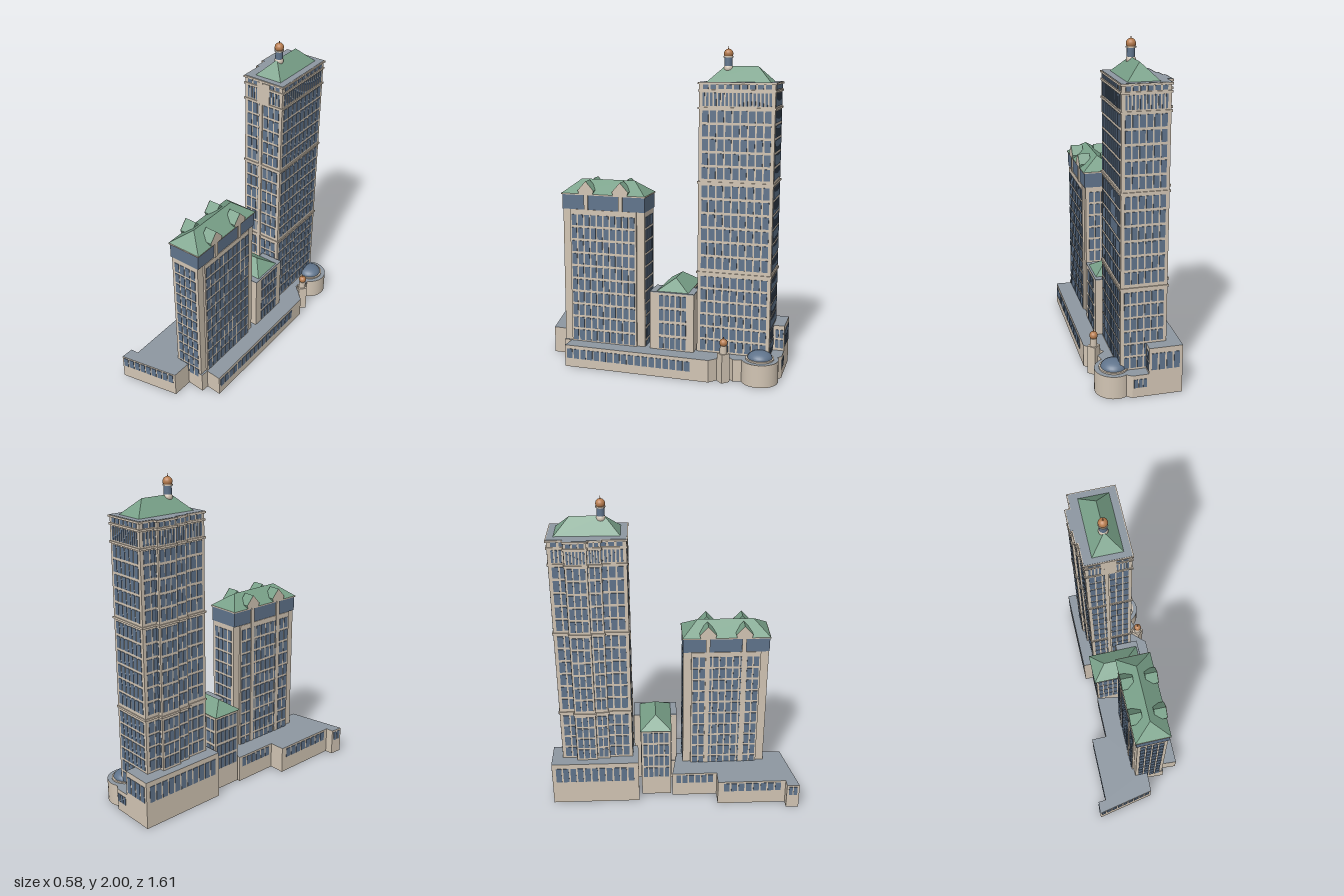
import * as THREE from 'three';
import { mergeGeometries } from 'three/addons/utils/BufferGeometryUtils.js';

const mat = (name, color, extra = {}) => {
  const m = new THREE.MeshStandardMaterial({ color, ...extra });
  m.name = name;
  return m;
};
const stone = mat('stone', 0xd2c5b4, { side: THREE.DoubleSide });
const glass = mat('glass', 0x60748c);
const green = mat('greenRoof', 0x78a088);
const copper = mat('copper', 0xb87d4f);
const deck = mat('greyDeck', 0x8d97a1);
const TILT = 0.066; // the whole site is turned slightly from the axes

function add(parent, name, geo, material, x = 0, y = 0, z = 0) {
  const m = new THREE.Mesh(geo, material);
  m.name = name;
  m.position.set(x, y, z);
  parent.add(m);
  return m;
}

function wing(parent, name, x, z) {
  const g = new THREE.Group();
  g.name = name;
  g.position.set(x, 0, z);
  g.rotation.y = TILT;
  parent.add(g);
  return g;
}

const block = (parent, name, x, z, w, d, y0, y1, material = stone) =>
  add(parent, name, new THREE.BoxGeometry(w, y1 - y0, d), material, x, (y0 + y1) / 2, z);

// Grid of thin panes set along the plan segment a -> b
function panes(parent, a, b, y0, y1, cols, rows, fx = 0.76, fy = 0.8) {
  const dx = b[0] - a[0], dz = b[1] - a[1], len = Math.hypot(dx, dz);
  const pw = len / cols, ph = (y1 - y0) / rows, list = [];
  for (let i = 0; i < cols; i++) for (let j = 0; j < rows; j++) {
    const t = (i + 0.5) / cols;
    list.push(new THREE.BoxGeometry(pw * fx, ph * fy, 0.006)
      .rotateY(Math.atan2(-dz, dx))
      .translate(a[0] + dx * t, y0 + ph * (j + 0.5), a[1] + dz * t));
  }
  add(parent, 'windows', mergeGeometries(list), glass);
}

// Panes on the four sides of a rectangle, with a margin at every corner
function panesAround(parent, x, z, w, d, y0, y1, colsW, colsD, rows, margin, fx, fy) {
  const a = w / 2 - margin, b = d / 2 - margin;
  for (const s of [-1, 1]) {
    panes(parent, [x - a, z + s * d / 2], [x + a, z + s * d / 2], y0, y1, colsW, rows, fx, fy);
    panes(parent, [x + s * w / 2, z - b], [x + s * w / 2, z + b], y0, y1, colsD, rows, fx, fy);
  }
}

// Hipped roof with its ridge along z
function hipGeometry(w, d, h, r) {
  const A = [-w / 2, 0, d / 2], B = [w / 2, 0, d / 2], C = [w / 2, 0, -d / 2], D = [-w / 2, 0, -d / 2];
  const P = [0, h, r], Q = [0, h, -r];
  const tris = [A, B, P, B, C, Q, B, Q, P, C, D, Q, D, A, P, D, P, Q, A, D, C, A, C, B];
  const g = new THREE.BufferGeometry();
  g.setAttribute('position', new THREE.Float32BufferAttribute(tris.flat(), 3));
  g.computeVertexNormals();
  return g;
}

// Hollow podium: upright walls under a flat deck, open below
function podium(parent, name, pts, h) {
  const pos = [];
  pts.forEach(([x, z], i) => {
    const [u, v] = pts[(i + 1) % pts.length];
    pos.push(x, 0, z, u, 0, v, u, h, v, x, 0, z, u, h, v, x, h, z);
  });
  const g = new THREE.BufferGeometry();
  g.setAttribute('position', new THREE.Float32BufferAttribute(pos, 3));
  g.computeVertexNormals();
  add(parent, name + 'Walls', g, stone);
  const flat = new THREE.ShapeGeometry(new THREE.Shape(pts.map(([x, z]) => new THREE.Vector2(x, -z))));
  flat.rotateX(-Math.PI / 2);
  add(parent, name + 'Deck', flat, deck, 0, h, 0);
  add(parent, name + 'Ceiling', flat, stone, 0, h - 0.004, 0);
}

function buildPodiums(root) {
  podium(root, 'frontPodium', [[-0.29, 0.8], [0.08, 0.7], [0.075, 0.55], [0.04, 0], [-0.19, -0.02],
    [-0.17, 0.27], [-0.27, 0.277], [-0.24, 0.715], [-0.29, 0.72]], 0.17);
  panes(root, [-0.285, 0.799], [0.07, 0.703], 0.09, 0.165, 9, 1, 0.76, 0.85);
  panes(root, [-0.29, 0.73], [-0.29, 0.79], 0.09, 0.165, 2, 1);
  panes(root, [-0.268, 0.31], [-0.242, 0.69], 0.09, 0.165, 8, 1);
  panes(root, [-0.188, 0], [-0.171, 0.25], 0.09, 0.165, 6, 1);

  podium(root, 'sidePodium', [[0.08, 0.57], [0.19, 0.57], [0.19, 0.52], [0.29, 0.52], [0.23, -0.41], [0.12, -0.5],
    [0.165, -0.545], [0.15, -0.59], [0.1, -0.69], [0, -0.69], [0, 0]], 0.14);
  panes(root, [0.289, 0.51], [0.238, -0.3], 0.055, 0.12, 18, 1, 0.78, 0.95);

  podium(root, 'rearPodium', [[-0.288, -0.79], [-0.09, -0.803], [-0.06, -0.25], [-0.25, -0.235]], 0.3);
  panes(root, [-0.286, -0.77], [-0.252, -0.26], 0.15, 0.28, 11, 1);
  panes(root, [-0.275, -0.791], [-0.1, -0.802], 0.15, 0.28, 4, 1);
  panes(root, [-0.09, -0.8], [-0.087, -0.745], 0.15, 0.28, 2, 2);
  podium(root, 'rearAnnex', [[-0.09, -0.803], [0.005, -0.81], [0.06, -0.78], [0.06, -0.6], [-0.08, -0.6]], 0.14);
  panes(root, [-0.08, -0.804], [0, -0.81], 0.055, 0.12, 3, 1);
}

function buildRotunda(root) {
  const g = new THREE.Group();
  g.name = 'rotunda';
  g.position.set(0.095, 0, -0.695);
  root.add(g);
  add(g, 'rotundaWall', new THREE.CylinderGeometry(0.113, 0.113, 0.14, 28, 1, true), stone, 0, 0.07, 0);
  add(g, 'rotundaDeck', new THREE.CircleGeometry(0.113, 28).rotateX(-Math.PI / 2), deck, 0, 0.141, 0);
  add(g, 'rotundaCeiling', new THREE.CircleGeometry(0.112, 28).rotateX(-Math.PI / 2), stone, 0, 0.137, 0);
  add(g, 'domeCurb', new THREE.CylinderGeometry(0.086, 0.086, 0.012, 28), stone, 0, 0.144, 0);
  const dome = new THREE.SphereGeometry(0.076, 28, 8, 0, Math.PI * 2, 0, Math.PI / 2).scale(1, 0.58, 1);
  add(g, 'glassDome', dome, glass, 0, 0.148, 0);
}

function buildTurret(root) {
  const g = wing(root, 'cornerTurret', 0.18, -0.49);
  const base = block(g, 'turretBase', 0, 0, 0.056, 0.056, 0, 0.18);
  base.rotation.y = Math.PI / 4;
  add(g, 'turretDrum', new THREE.CylinderGeometry(0.022, 0.022, 0.05, 16), stone, 0, 0.205, 0);
  add(g, 'turretDome', new THREE.SphereGeometry(0.025, 16, 10), copper, 0, 0.246, 0);
  add(g, 'turretSpike', new THREE.ConeGeometry(0.005, 0.025, 8), copper, 0, 0.277, 0);
}

function buildTower(root) {
  const g = wing(root, 'tallTower', -0.055, -0.51);
  const w = 0.27, d = 0.45;
  // main shaft and the stepped bays on its west side: x, z, width, depth, columns
  const parts = [[0, 0, w, d, 6, 9], [-0.13, -0.065, 0.07, 0.13, 1, 3], [-0.13, 0.04, 0.04, 0.08, 1, 2]];
  parts.forEach(([x, z, pw, pd, cw, cd], i) => {
    block(g, 'shaft', x, z, pw, pd, i ? 0.28 : 0.01, 1.78);
    const m = i ? 0.008 : 0.016;
    [[0.145, 0.63, 6], [0.665, 1.19, 6], [1.215, 1.635, 5]].forEach(([y0, y1, n]) =>
      panesAround(g, x, z, pw, pd, y0, y1, cw, cd, n, m, 0.78, 0.82));
    panesAround(g, x, z, pw, pd, 1.65, 1.735, cw * 2, cd * 2, 1, m, 0.58, 0.9);
    panesAround(g, x, z, pw, pd, 1.75, 1.78, cw, cd, 1, m, 0.7, 0.85);
    for (const y of [0.645, 1.2, 1.64, 1.742]) block(g, 'ledge', x, z, pw + 0.012, pd + 0.012, y - 0.006, y + 0.006);
    block(g, 'cornice', x, z, pw + 0.016, pd + 0.016, 1.779, 1.79);
    block(g, 'roofDeck', x, z, pw + 0.004, pd + 0.004, 1.782, 1.792, deck);
  });
  // plain pier beside the front entrance bay
  block(g, 'frontPier', -0.015, d / 2, 0.022, 0.014, 0.3, 1.78);
  block(g, 'frontPanel', 0.0, d / 2, 0.09, 0.012, 1.64, 1.775);
  add(g, 'towerRoof', hipGeometry(0.18, 0.38, 0.09, 0.1), green, 0.005, 1.792, 0);

  // cupola
  const c = new THREE.Group();
  c.name = 'cupola';
  c.position.set(0.005, 0, 0.08);
  g.add(c);
  add(c, 'cupolaBase', new THREE.SphereGeometry(0.028, 16, 10), stone, 0, 1.868, 0);
  add(c, 'cupolaDrum', new THREE.CylinderGeometry(0.023, 0.023, 0.06, 16), glass, 0, 1.905, 0);
  add(c, 'cupolaCollar', new THREE.CylinderGeometry(0.029, 0.029, 0.008, 16), stone, 0, 1.936, 0);
  add(c, 'cupolaDome', new THREE.SphereGeometry(0.028, 18, 12), copper, 0, 1.955, 0);
  add(c, 'cupolaSpire', new THREE.ConeGeometry(0.005, 0.024, 8), copper, 0, 1.988, 0);
}

function buildFrontBlock(root) {
  const g = wing(root, 'frontBlock', 0.068, 0.305);
  const w = 0.19, d = 0.535;
  block(g, 'body', 0, 0, w, d, 0.01, 1);
  block(g, 'sideBay', 0, 0, w + 0.024, d - 0.1, 0.01, 1);
  panesAround(g, 0, 0, w + 0.024, d - 0.1, 0.14, 0.975, 1, 10, 10, 0.006, 0.76, 0.82);
  for (const s of [-1, 1]) panes(g, [-0.08, s * d / 2], [0.08, s * d / 2], 0.1, 0.975, 4, 11, 0.76, 0.82);
  block(g, 'glassBand', 0, 0, w + 0.016, d + 0.004, 1, 1.095, glass);
  block(g, 'eave', 0, 0, w + 0.028, d + 0.014, 1.092, 1.1);
  add(g, 'frontBlockRoof', hipGeometry(0.22, 0.545, 0.08, 0.175), green, 0, 1.1, 0);

  // gabled dormers, each over a stone pier
  const gable = new THREE.Shape([[-0.045, 0], [0.045, 0], [0.052, 0.022], [0, 0.08], [-0.052, 0.022]]
    .map(([x, y]) => new THREE.Vector2(x, y)));
  const body = new THREE.ExtrudeGeometry(gable, { depth: 0.075, bevelEnabled: false });
  for (const s of [-1, 1]) for (const z of [-0.115, 0.11]) {
    const dormer = new THREE.Group();
    dormer.name = 'dormer';
    dormer.position.set(s * 0.037, 1.1, z);
    dormer.rotation.y = s * Math.PI / 2;
    g.add(dormer);
    add(dormer, 'dormerRoof', body, green);
    add(dormer, 'dormerGable', new THREE.ShapeGeometry(gable), stone, 0, 0, 0.077);
    block(g, 'dormerPier', s * 0.106, z, 0.012, 0.026, s < 0 ? 0.17 : 1, 1.1);
  }
}

function buildLink(root) {
  const g = wing(root, 'linkBlock', -0.03, -0.135);
  block(g, 'linkBody', 0, 0, 0.32, 0.19, 0.01, 0.505);
  block(g, 'linkCore', 0.1, 0, 0.15, 0.28, 0.01, 0.505);
  block(g, 'linkDeck', 0.1, 0, 0.15, 0.28, 0.505, 0.511, deck);
  panes(g, [0.175, -0.095], [0.175, 0.085], 0.14, 0.5, 5, 4);
  panes(g, [-0.16, -0.085], [-0.16, 0.085], 0.14, 0.5, 5, 4);
  for (const s of [-1, 1]) panes(g, [-0.15, s * 0.095], [0.02, s * 0.095], 0.14, 0.5, 5, 4);
  const roof = add(g, 'linkRoof', hipGeometry(0.2, 0.335, 0.07, 0.08), green, -0.005, 0.511, 0);
  roof.rotation.y = Math.PI / 2;
}

export function createModel() {
  const root = new THREE.Group();
  root.name = 'towerComplex';
  [buildPodiums, buildRotunda, buildTurret, buildTower, buildFrontBlock, buildLink].forEach((f) => f(root));
  return root;
}
